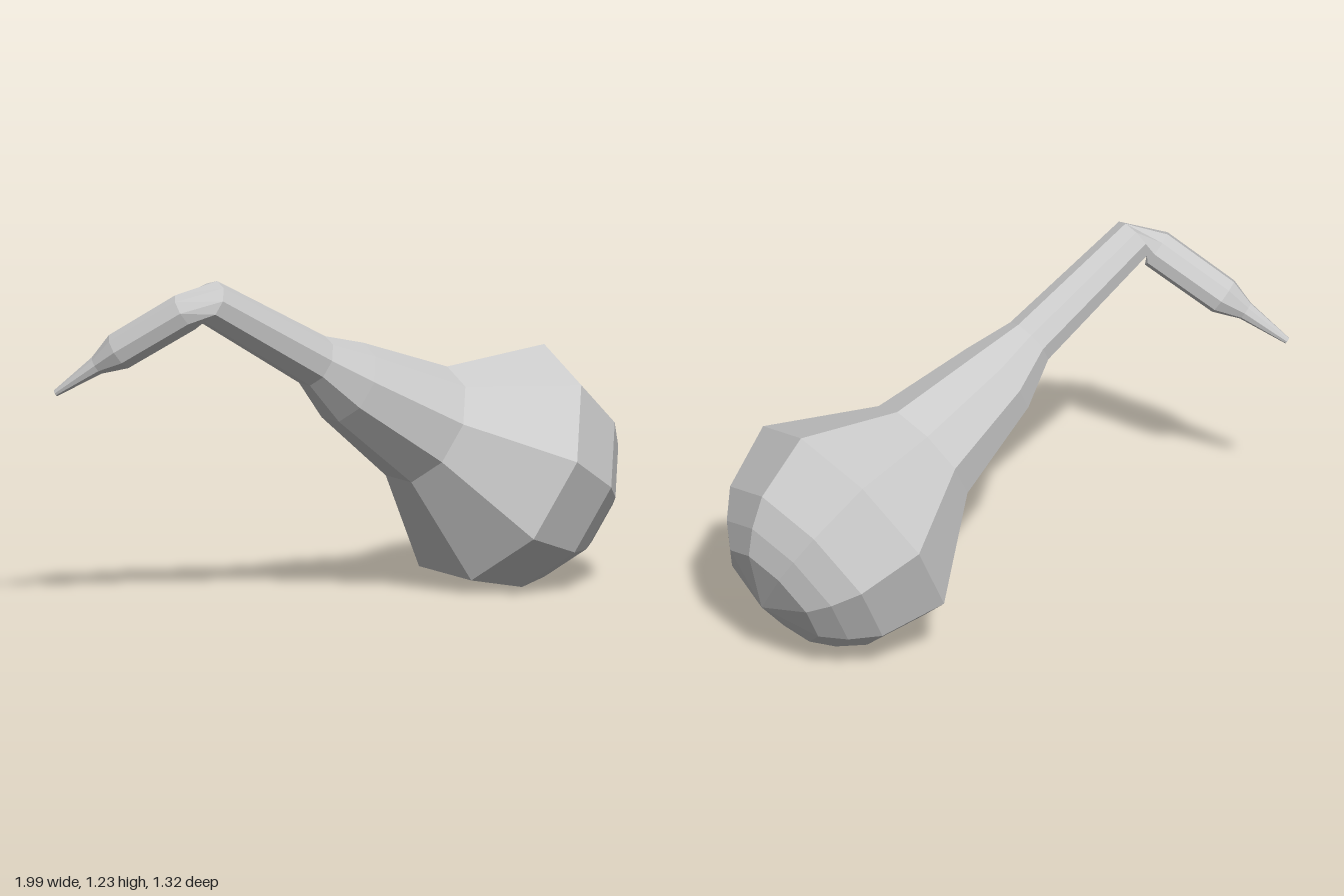
import * as THREE from 'three';

const SIDES = 9;
const V = (x, y, z) => new THREE.Vector3(x, y, z);
const centre = V(0.552, 0.438, -0.213);          // middle of the widest ring
const back = V(0.688, -0.473, -0.552).normalize(); // points out of the rounded end
const forward = back.clone().negate();

// Ring of points facing along dir, turned from the body axis so the sides stay aligned
function ring(c, r, dir = forward) {
  const u = V(0.385, 0.879, -0.274).projectOnPlane(back).normalize();
  const v = back.clone().cross(u);
  const turn = new THREE.Quaternion().setFromUnitVectors(forward, dir);
  return Array.from({ length: SIDES }, (_, i) => {
    const a = (i / SIDES) * Math.PI * 2;
    return u.clone().multiplyScalar(Math.cos(a) * r)
      .addScaledVector(v, Math.sin(a) * r).applyQuaternion(turn).add(c);
  });
}

// Skin a list of rings; zero-radius rings close the ends
function loft(name, rings) {
  const pos = [];
  const tri = (a, b, c) => {
    if (a.distanceTo(b) < 1e-6 || b.distanceTo(c) < 1e-6 || c.distanceTo(a) < 1e-6) return;
    for (const p of [a, b, c]) pos.push(p.x, p.y, p.z);
  };
  for (let j = 0; j < rings.length - 1; j++) {
    for (let i = 0; i < SIDES; i++) {
      const k = (i + 1) % SIDES, a = rings[j], b = rings[j + 1];
      tri(a[i], b[i], a[k]);
      tri(a[k], b[i], b[k]);
    }
  }
  const geo = new THREE.BufferGeometry();
  geo.setAttribute('position', new THREE.Float32BufferAttribute(pos, 3));
  geo.computeVertexNormals();
  const mesh = new THREE.Mesh(geo, new THREE.MeshStandardMaterial({
    color: 0xcccccc, flatShading: true, side: THREE.DoubleSide,
  }));
  mesh.name = name;
  return mesh;
}

export function createModel() {
  const group = new THREE.Group();
  group.name = 'gourd';

  // Round bulb: [distance along axis, radius]
  const bulb = [[-0.46, 0], [-0.40, 0.225], [-0.335, 0.31], [-0.24, 0.39], [0, 0.463], [0.36, 0.227]]
    .map(([s, r]) => ring(centre.clone().addScaledVector(forward, s), r));
  group.add(loft('bulb', bulb));

  // Tapering neck
  const neck = [
    bulb[bulb.length - 1],
    ring(V(0.04, 0.795, 0.19), 0.155),
    ring(V(-0.07, 0.89, 0.295), 0.097),
    ring(V(-0.44, 1.155, 0.59), 0.08),
  ];
  group.add(loft('neck', neck));

  // Bent stalk, narrowing to a thin tip
  const path = [[-0.52, 1.115, 0.585, 0.072], [-0.76, 0.96, 0.52, 0.07],
    [-0.84, 0.907, 0.508, 0.035], [-0.99, 0.8, 0.482, 0.012]];
  const dir = V(-0.82, -0.55, -0.18).normalize();
  const stalk = path.map(([x, y, z, r]) => ring(V(x, y, z), r, dir));
  const tip = ring(V(-0.99, 0.8, 0.482), 0, dir);
  group.add(loft('stalk', [neck[neck.length - 1], ...stalk, tip]));

  return group;
}
